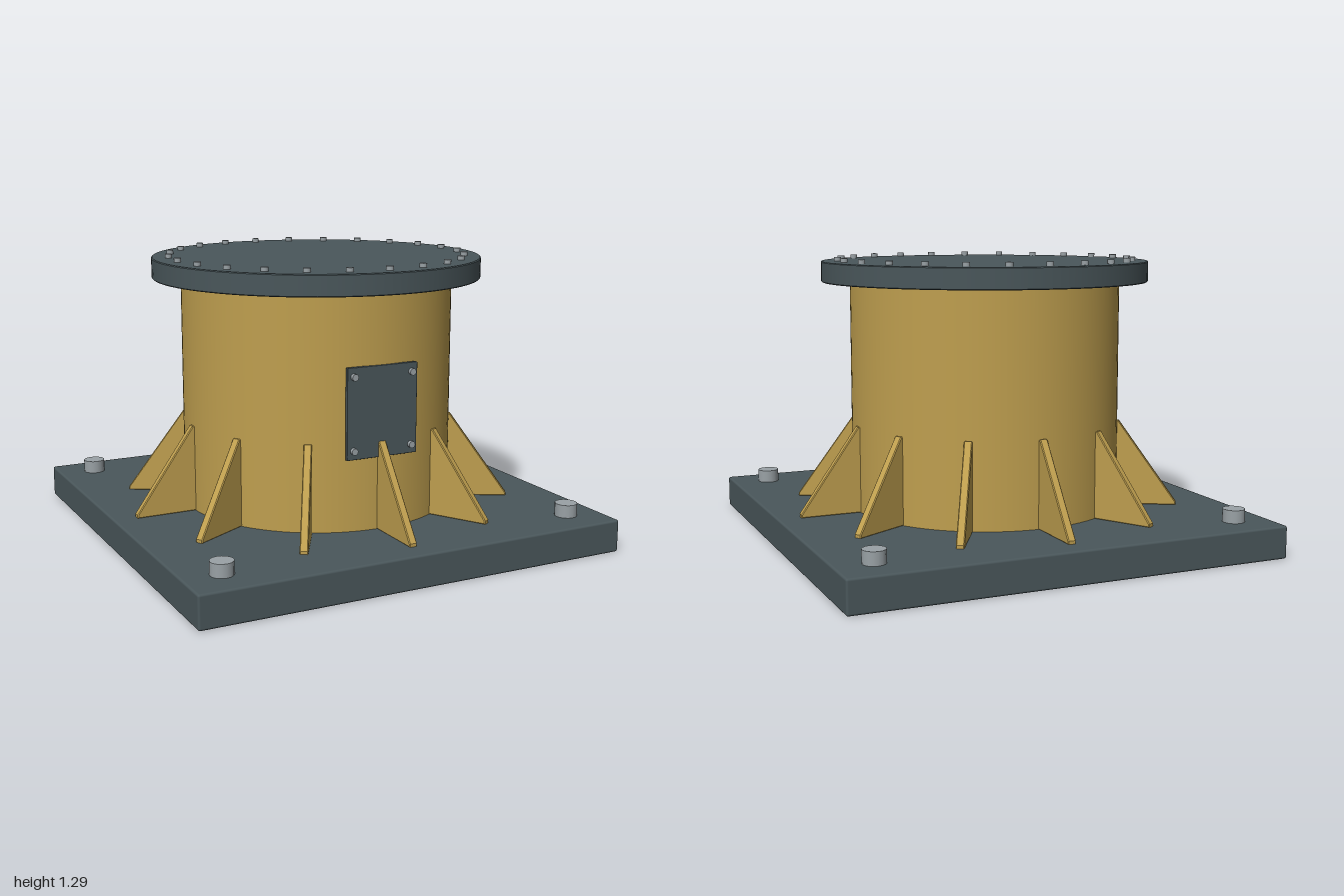
import * as THREE from 'three';
import { RoundedBoxGeometry } from 'three/addons/geometries/RoundedBoxGeometry.js';

const paint = (name, color) => {
  const m = new THREE.MeshStandardMaterial({ color });
  m.name = name;
  return m;
};

export function createModel() {
  const ochre = paint('ochre paint', 0xbf9f4f);
  const slate = paint('slate paint', 0x4a575b);
  const steel = paint('bolt steel', 0x9aa2a6);
  const model = new THREE.Group();
  model.name = 'pedestal';

  const add = (name, geometry, material, x = 0, y = 0, z = 0, parent = model) => {
    const mesh = new THREE.Mesh(geometry, material);
    mesh.name = name;
    mesh.position.set(x, y, z);
    parent.add(mesh);
    return mesh;
  };
  const group = (name) => {
    const g = new THREE.Group();
    g.name = name;
    model.add(g);
    return g;
  };

  // Square base plate with softened edges
  add('basePlate', new RoundedBoxGeometry(2, 0.147, 2, 2, 0.01), slate, 0, 0.0735, 0);

  // Drum and top flange
  add('drum', new THREE.CylinderGeometry(0.62, 0.62, 1.05, 96), ochre, 0, 0.665, 0);
  const rim = [[0, 1.182], [0.746, 1.182], [0.75, 1.186], [0.75, 1.272], [0.746, 1.276], [0, 1.276]];
  // Each straight run of the flange is its own lathe so the edges stay sharp
  const flange = group('topFlange');
  for (let i = 0; i < rim.length - 1; i++) {
    const pts = [rim[i], rim[i + 1]].map(([r, y]) => new THREE.Vector2(r, y));
    add('flangeFace', new THREE.LatheGeometry(pts, 96), slate, 0, 0, 0, flange);
  }

  // Twelve triangular gussets around the foot of the drum
  const bevel = 0.004;
  const profile = new THREE.Shape([
    [0.59, 0.15], [0.892, 0.15], [0.892, 0.16], [0.626, 0.535], [0.59, 0.535],
  ].map(([x, y]) => new THREE.Vector2(x, y)));
  const gussetGeo = new THREE.ExtrudeGeometry(profile, {
    depth: 0.036 - 2 * bevel, bevelEnabled: true,
    bevelThickness: bevel, bevelSize: bevel, bevelSegments: 1,
  });
  gussetGeo.translate(0, 0, -0.018 + bevel);
  const gussets = group('gussets');
  for (let i = 0; i < 12; i++) {
    add('gusset', gussetGeo, ochre, 0, 0, 0, gussets).rotation.y = (i * Math.PI) / 6;
  }

  // Ring of small bolts on the flange
  const flangeBolts = group('flangeBolts');
  const smallBolt = new THREE.CylinderGeometry(0.016, 0.016, 0.024, 12);
  for (let i = 0; i < 24; i++) {
    const a = (i * Math.PI) / 12;
    add('flangeBolt', smallBolt, steel, 0.675 * Math.sin(a), 1.282, 0.675 * Math.cos(a), flangeBolts);
  }

  // Anchor bolts at the base corners
  const anchors = group('anchorBolts');
  const anchorGeo = new THREE.CylinderGeometry(0.05, 0.05, 0.06, 16);
  for (const x of [-0.833, 0.833]) {
    for (const z of [-0.833, 0.833]) add('anchorBolt', anchorGeo, steel, x, 0.175, z, anchors);
  }

  // Front access hatch with four screws
  const hatch = group('accessHatch');
  add('hatchPlate', new RoundedBoxGeometry(0.34, 0.4, 0.018, 1, 0.003), slate, 0, 0.67, 0.618, hatch);
  const screwGeo = new THREE.CylinderGeometry(0.015, 0.015, 0.024, 12).rotateX(Math.PI / 2);
  for (const x of [-0.14, 0.14]) {
    for (const y of [0.51, 0.83]) add('hatchScrew', screwGeo, steel, x, y, 0.632, hatch);
  }

  return model;
}
